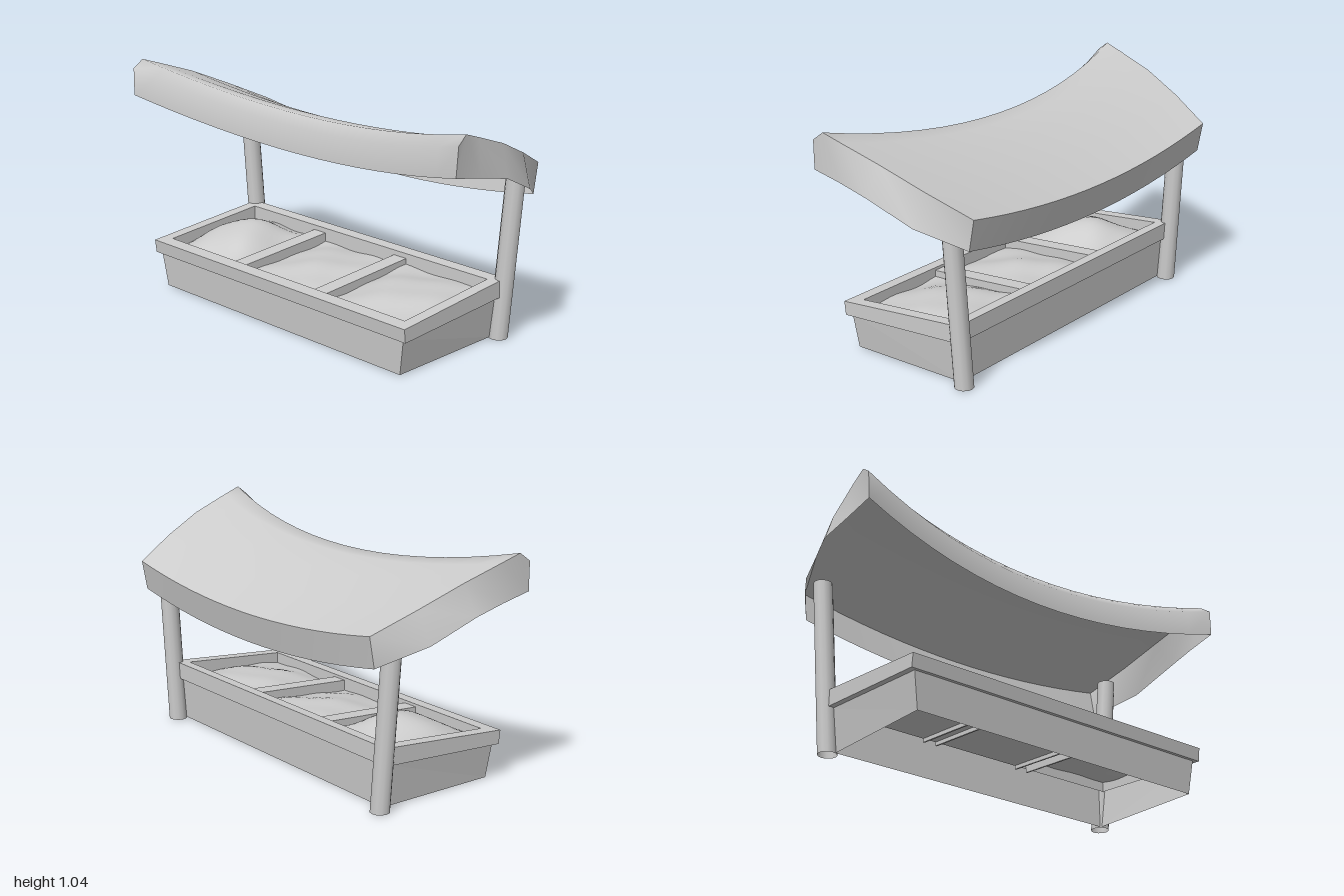
import * as THREE from 'three';
import { toCreasedNormals } from 'three/addons/utils/BufferGeometryUtils.js';

const smooth = new THREE.MeshStandardMaterial({ color: 0xcccccc, side: THREE.DoubleSide });
const flat = new THREE.MeshStandardMaterial({ color: 0xcccccc, side: THREE.DoubleSide, flatShading: true });
const lerp = THREE.MathUtils.lerp;

// Surface of nu x nv quads; point(i, j) gives [x, y, z]
function surface(nu, nv, point) {
  const pos = [], idx = [];
  for (let j = 0; j <= nv; j++) for (let i = 0; i <= nu; i++) pos.push(...point(i, j));
  for (let j = 0; j < nv; j++) for (let i = 0; i < nu; i++) {
    const a = j * (nu + 1) + i, b = a + 1, d = a + nu + 1, c = d + 1;
    idx.push(a, b, d, b, c, d);
  }
  const g = new THREE.BufferGeometry();
  g.setAttribute('position', new THREE.Float32BufferAttribute(pos, 3));
  g.setIndex(idx);
  g.computeVertexNormals();
  return g;
}

function part(parent, name, geometry, material = smooth) {
  const mesh = new THREE.Mesh(geometry, material);
  mesh.name = name;
  parent.add(mesh);
}

// Sagging canopy: rows from front lip over the top to the back lip
function addRoof(group) {
  // half width, z at middle, z at ends, y at middle, y at ends
  const rows = [
    [0.985, 0.212, 0.325, 0.762, 0.878],
    [0.99, 0.205, 0.32, 0.875, 1.005],
    [0.985, 0.165, 0.27, 0.922, 1.042],
    [0.975, 0.09, 0.18, 0.912, 1.012],
    [0.95, -0.04, 0.0, 0.865, 0.95],
    [0.905, -0.21, -0.19, 0.79, 0.866],
    [0.84, -0.39, -0.38, 0.702, 0.775],
  ];
  const backLip = [0.84, -0.36, -0.355, 0.565, 0.64];
  const n = 16;
  const at = (r, t) => [r[0] * t, lerp(r[3], r[4], t * t), lerp(r[1], r[2], t * t)];
  const sheet = (name, list) => {
    const g = surface(n, list.length - 1, (i, j) => at(list[j], 1 - (i / n) * 2));
    part(roof, name, g);
  };
  const roof = new THREE.Group();
  roof.name = 'roof';
  group.add(roof);
  sheet('canopy', rows);
  sheet('backSkirt', [rows[6], backLip]);

  // Side skirts hang from the ends of the canopy
  const front = at(rows[0], 1);
  const lower = [front, front, [0.99, 0.851, 0.18], [1, 0.82, 0.03], [0.96, 0.727, -0.172], at(backLip, 1)];
  for (const side of [-1, 1]) {
    const skirt = surface(5, 1, (i, j) => {
      const p = j === (side > 0 ? 1 : 0) ? at(rows[i + 1], 1) : lower[i];
      return [p[0] * side, p[1], p[2]];
    });
    part(roof, 'sideSkirt', toCreasedNormals(skirt, 0.7));
  }
}

// Open bin with flared body and overhanging rim, higher at the back
function addBin(group) {
  // half width, front z, back z, height at front, rise per unit of depth
  const rings = [
    [0.74, 0.355, -0.22, 0.004, 0],
    [0.765, 0.365, -0.23, 0.164, 0.059],
    [0.79, 0.38, -0.25, 0.164, 0.059],
    [0.79, 0.387, -0.25, 0.225, 0.084],
    [0.735, 0.325, -0.195, 0.23, 0.084],
    [0.735, 0.325, -0.195, 0.14, 0.06],
  ];
  const bin = surface(4, rings.length - 1, (i, j) => {
    const [w, front, back, y, rise] = rings[j];
    const x = i === 1 || i === 2 ? w : -w;
    const z = i === 2 || i === 3 ? back : front;
    return [x, y + rise * (front - z), z];
  });
  part(group, 'bin', bin, flat);

  // Sloped floor under the right and middle bays
  part(group, 'floor', surface(1, 1, (i, j) => [i ? 0.233 : -0.735, j ? 0.171 : 0.14, j ? -0.195 : 0.325]), flat);

  // Hollow dividers, sloped with the rim
  for (const x of [-0.278, 0.233]) {
    const s = new THREE.Shape();
    s.moveTo(-0.037, 0.12);
    for (const [px, py] of [[-0.029, 0.12], [-0.029, 0.205], [0.029, 0.205], [0.029, 0.12],
      [0.037, 0.12], [0.037, 0.217], [-0.037, 0.217]]) s.lineTo(px, py);
    const g = new THREE.ExtrudeGeometry(s, { depth: 0.52, bevelEnabled: false });
    g.translate(x, 0, -0.195);
    const p = g.attributes.position;
    for (let i = 0; i < p.count; i++) p.setY(i, p.getY(i) + 0.065 * (0.325 - p.getZ(i)));
    part(group, 'divider', g, flat);
  }
}

// Loose heaps filling the three bays
function addHeaps(group) {
  const bays = [
    // left x, right x, edge height, mound height, phase
    [-0.735, -0.315, 0.18, 0.1, 0],
    [-0.241, 0.196, 0.172, 0.03, 2],
    [0.27, 0.735, 0.182, 0.035, 4],
  ];
  const n = 16;
  for (const [x0, x1, edge, h, phase] of bays) {
    part(group, 'heap', surface(n, n, (i, j) => {
      const u = (i / n) * 2 - 1, v = (j / n) * 2 - 1;
      const x = lerp(x0, x1, i / n), z = lerp(0.325, -0.195, j / n);
      const mound = (1 - u * u) * Math.pow(1 - v * v, 1.3);
      const ripple = 0.004 * Math.sin(u * 5 + v * 3 + phase) + 0.003 * Math.sin(v * 7 - u * 4 + phase);
      return [x, edge + 0.07 * (0.325 - z) + h * mound + ripple, z];
    }));
  }
}

// Posts leaning outward at the back corners, with level ends
function addPosts(group) {
  const height = 0.778;
  for (const side of [-1, 1]) {
    const g = new THREE.CylinderGeometry(0.042, 0.042, height, 12, 1, true);
    g.translate(0, height / 2, -0.251);
    const p = g.attributes.position;
    for (let i = 0; i < p.count; i++) {
      p.setX(i, p.getX(i) + side * lerp(0.76, 0.828, p.getY(i) / height));
    }
    part(group, side > 0 ? 'leftPost' : 'rightPost', g);
  }
}

export function createModel() {
  const group = new THREE.Group();
  group.name = 'marketStall';
  addRoof(group);
  addBin(group);
  addHeaps(group);
  addPosts(group);
  return group;
}
